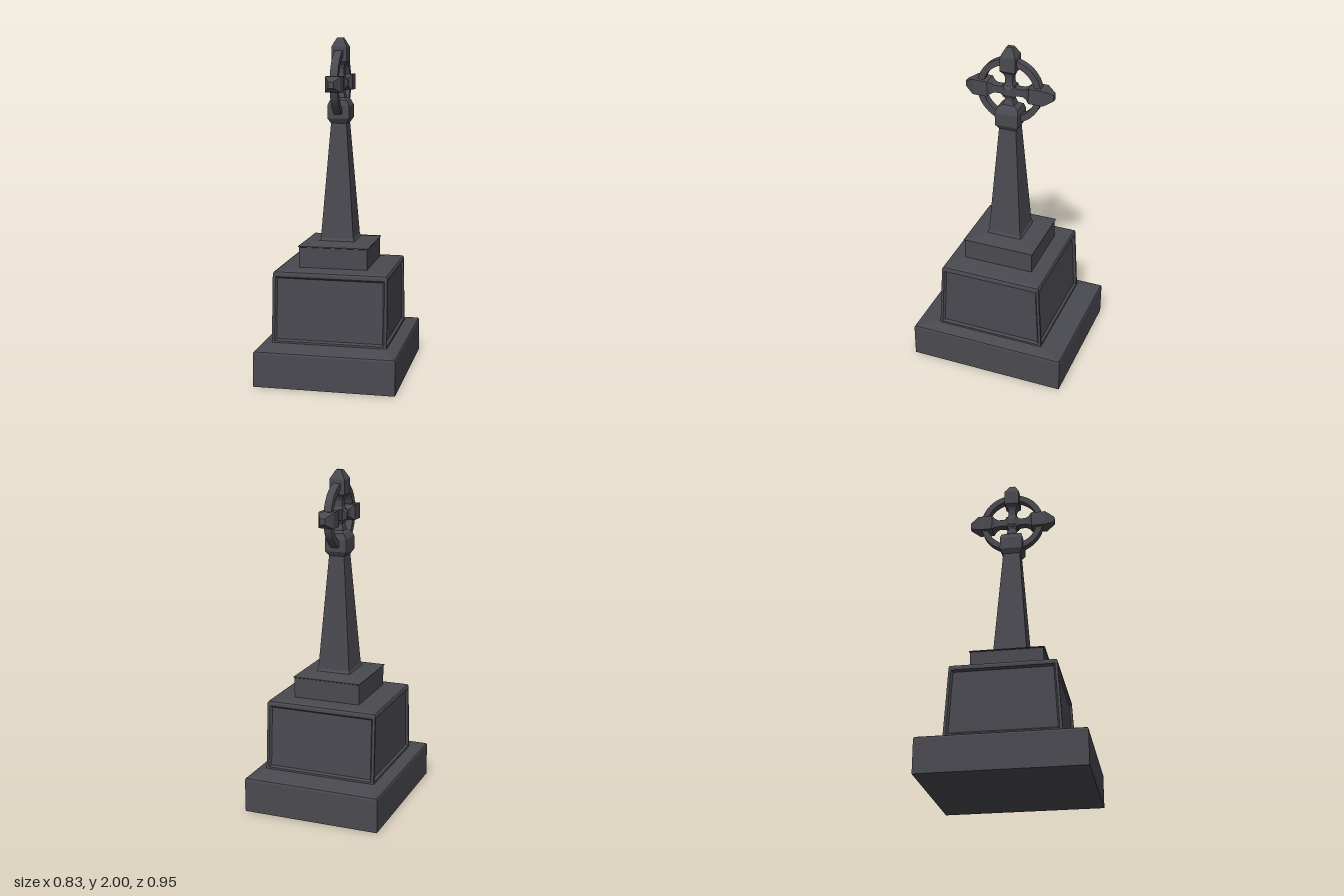
import * as THREE from 'three';

const stone = new THREE.MeshStandardMaterial({ color: 0x494950 });
stone.name = 'darkStone';

// Flat faced geometry from a list of four-cornered faces
function fromQuads(quads) {
  const pos = [];
  for (const [a, b, c, d] of quads) pos.push(...a, ...b, ...c, ...a, ...c, ...d);
  const g = new THREE.BufferGeometry();
  g.setAttribute('position', new THREE.Float32BufferAttribute(pos, 3));
  g.computeVertexNormals();
  return g;
}

// Corners of a horizontal rectangle, anticlockwise from above
const rect = ([y, hx, hz]) => [[hx, y, hz], [hx, y, -hz], [-hx, y, -hz], [-hx, y, hz]];

// Rectangular loft through sections [y, half width, half depth]
function loft(sections) {
  const rings = sections.map(rect);
  const quads = [rings[0].slice().reverse(), rings[rings.length - 1]];
  for (let s = 0; s < rings.length - 1; s++) {
    for (let i = 0; i < 4; i++) {
      const j = (i + 1) % 4;
      quads.push([rings[s][i], rings[s][j], rings[s + 1][j], rings[s + 1][i]]);
    }
  }
  return fromQuads(quads);
}

// Tapered block side with a raised frame around a sunken panel
function panelSide(corners, margin, bevel, depth) {
  const [a, b, c, d] = corners.map((p) => new THREE.Vector3(...p));
  const normal = b.clone().sub(a).cross(d.clone().sub(a)).normalize();
  const width = a.distanceTo(b), height = a.distanceTo(d);
  const inset = (m, sink) => {
    const u = m / width, v = m / height;
    return [[u, v], [1 - u, v], [1 - u, 1 - v], [u, 1 - v]].map(([s, t]) =>
      a.clone().lerp(b, s).lerp(d.clone().lerp(c, s), t).addScaledVector(normal, -sink).toArray());
  };
  const loops = [inset(0, 0), inset(margin, 0), inset(margin + bevel, depth)];
  const quads = [loops[2]];
  for (let k = 0; k < 2; k++) {
    for (let i = 0; i < 4; i++) {
      const j = (i + 1) % 4;
      quads.push([loops[k][i], loops[k][j], loops[k + 1][j], loops[k + 1][i]]);
    }
  }
  return fromQuads(quads);
}

export function createModel() {
  const model = new THREE.Group();
  model.name = 'memorialCross';
  const add = (name, geometry, parent = model) => {
    const mesh = new THREE.Mesh(geometry, stone);
    mesh.name = name;
    parent.add(mesh);
    return mesh;
  };

  // Base slab with softened, sloping top
  add('baseSlab', loft([
    [0, 0.416, 0.477], [0.198, 0.416, 0.477], [0.208, 0.412, 0.473],
    [0.213, 0.402, 0.463], [0.23, 0.34, 0.33],
  ]));

  // Pedestal: four panelled sides and a rounded top
  const low = rect([0.225, 0.342, 0.332]), high = rect([0.637, 0.339, 0.308]);
  const pedestal = new THREE.Group();
  pedestal.name = 'pedestal';
  model.add(pedestal);
  for (let i = 0; i < 4; i++) {
    const j = (i + 1) % 4;
    add('pedestalPanel', panelSide([low[i], low[j], high[j], high[i]], 0.016, 0.01, 0.014), pedestal);
  }
  add('pedestalTop', loft([
    [0.637, 0.339, 0.308], [0.648, 0.334, 0.303], [0.654, 0.32, 0.29], [0.662, 0.2, 0.21],
  ]), pedestal);

  // Upper step with a thin lip
  add('upperStep', loft([
    [0.65, 0.204, 0.214], [0.782, 0.204, 0.214], [0.785, 0.209, 0.22],
    [0.789, 0.209, 0.22], [0.803, 0.12, 0.12],
  ]));

  // Tapering shaft with a small flare at its foot
  add('shaft', loft([
    [0.798, 0.125, 0.125], [0.806, 0.105, 0.108], [0.822, 0.098, 0.1], [1.51, 0.046, 0.051],
  ]));

  // Capital and lower cross arm
  add('capital', loft([
    [1.5, 0.046, 0.051], [1.53, 0.065, 0.07], [1.605, 0.065, 0.07],
    [1.637, 0.05, 0.062], [1.65, 0.032, 0.034], [1.685, 0.024, 0.022], [1.71, 0.032, 0.034],
  ]));

  // Cross head: boss, three block-ended arms and ring
  const head = new THREE.Group();
  head.name = 'crossHead';
  head.position.y = 1.735;
  model.add(head);

  const boss = loft([[-0.042, 0.018, 0.018], [-0.03, 0.036, 0.036], [0.03, 0.036, 0.036], [0.042, 0.018, 0.018]]);
  boss.rotateZ(Math.PI / 2);
  add('centreBoss', boss, head);

  const arm = loft([
    [0.025, 0.032, 0.034], [0.05, 0.024, 0.022], [0.085, 0.024, 0.022], [0.105, 0.03, 0.03],
    [0.125, 0.046, 0.046], [0.212, 0.046, 0.046], [0.265, 0.016, 0.018],
  ]);
  for (const [name, turn] of [['topArm', 0], ['frontArm', 1], ['backArm', -1]]) {
    add(name, arm, head).rotation.x = turn * Math.PI / 2;
  }

  const ringShape = new THREE.Shape().absarc(0, 0, 0.195, 0, Math.PI * 2);
  ringShape.holes.push(new THREE.Path().absarc(0, 0, 0.158, 0, Math.PI * 2, true));
  const ring = new THREE.ExtrudeGeometry(ringShape, { depth: 0.046, bevelEnabled: false, curveSegments: 32 });
  ring.translate(0, 0, -0.023);
  ring.rotateY(Math.PI / 2);
  add('crossRing', ring, head);

  return model;
}
